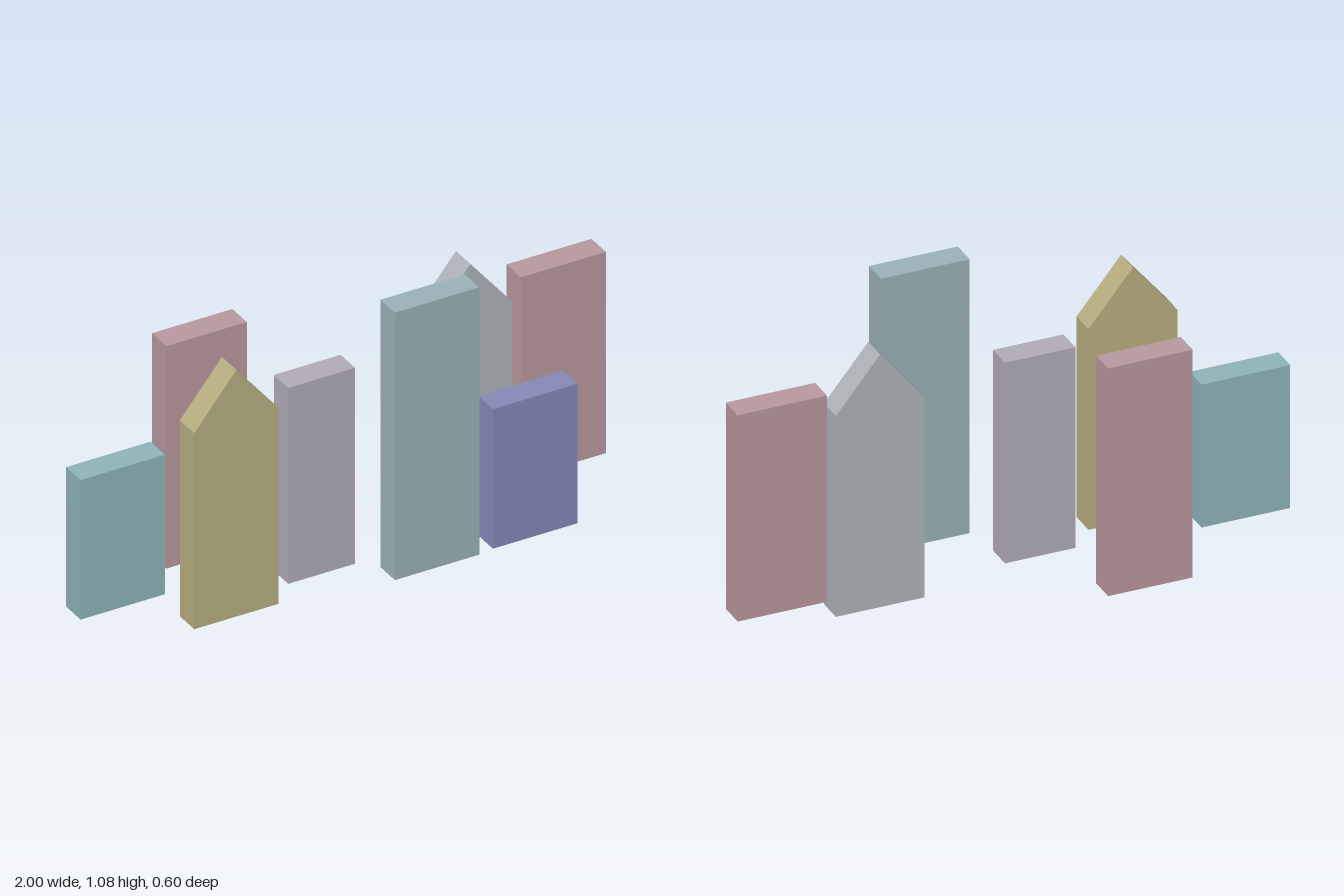
import * as THREE from 'three';

const DEPTH = 0.095;

// One building slab: extruded front outline, with an optional pointed gable
function building({ name, x0, x1, y0, y1, z, color, peak }) {
  const shape = new THREE.Shape();
  shape.moveTo(x0, y0);
  shape.lineTo(x1, y0);
  shape.lineTo(x1, y1);
  if (peak) shape.lineTo((x0 + x1) / 2, peak);
  shape.lineTo(x0, y1);
  shape.closePath();
  const geometry = new THREE.ExtrudeGeometry(shape, { depth: DEPTH, bevelEnabled: false });
  const material = new THREE.MeshStandardMaterial({ color, flatShading: true });
  const mesh = new THREE.Mesh(geometry, material);
  mesh.name = name;
  mesh.position.z = z; // z of the back face
  return mesh;
}

export function createModel() {
  const group = new THREE.Group();
  group.name = 'skyline';
  const buildings = [
    // Front row
    { name: 'tallTower', x0: 0.027, x1: 0.348, y0: 0.045, y1: 1.078, z: 0.204, color: 0x9bb1b7 },
    { name: 'lowBlueBlock', x0: 0.4, x1: 0.721, y0: 0.052, y1: 0.591, z: 0.204, color: 0x8688b8 },
    // Second row
    { name: 'goldGableHouse', x0: -0.679, x1: -0.358, y0: 0.019, y1: 0.776, peak: 0.972, z: 0.105, color: 0xb7ae80 },
    { name: 'mauveBlock', x0: -0.268, x1: -0.014, y0: 0.019, y1: 0.776, z: 0.012, color: 0xb1abb8 },
    // Middle row
    { name: 'lowTealBlock', x0: -1, x1: -0.679, y0: 0.052, y1: 0.591, z: -0.088, color: 0x8eb3b8 },
    { name: 'greyGableHouse', x0: 0.322, x1: 0.643, y0: 0.019, y1: 0.776, peak: 0.972, z: -0.088, color: 0xadb3b8 },
    { name: 'rightPinkBlock', x0: 0.675, x1: 0.998, y0: 0.083, y1: 0.861, z: -0.088, color: 0xb8989e },
    // Back row
    { name: 'rearPinkBlock', x0: -0.552, x1: -0.246, y0: 0, y1: 0.859, z: -0.299, color: 0xb8989e },
  ];
  for (const b of buildings) group.add(building(b));
  return group;
}
